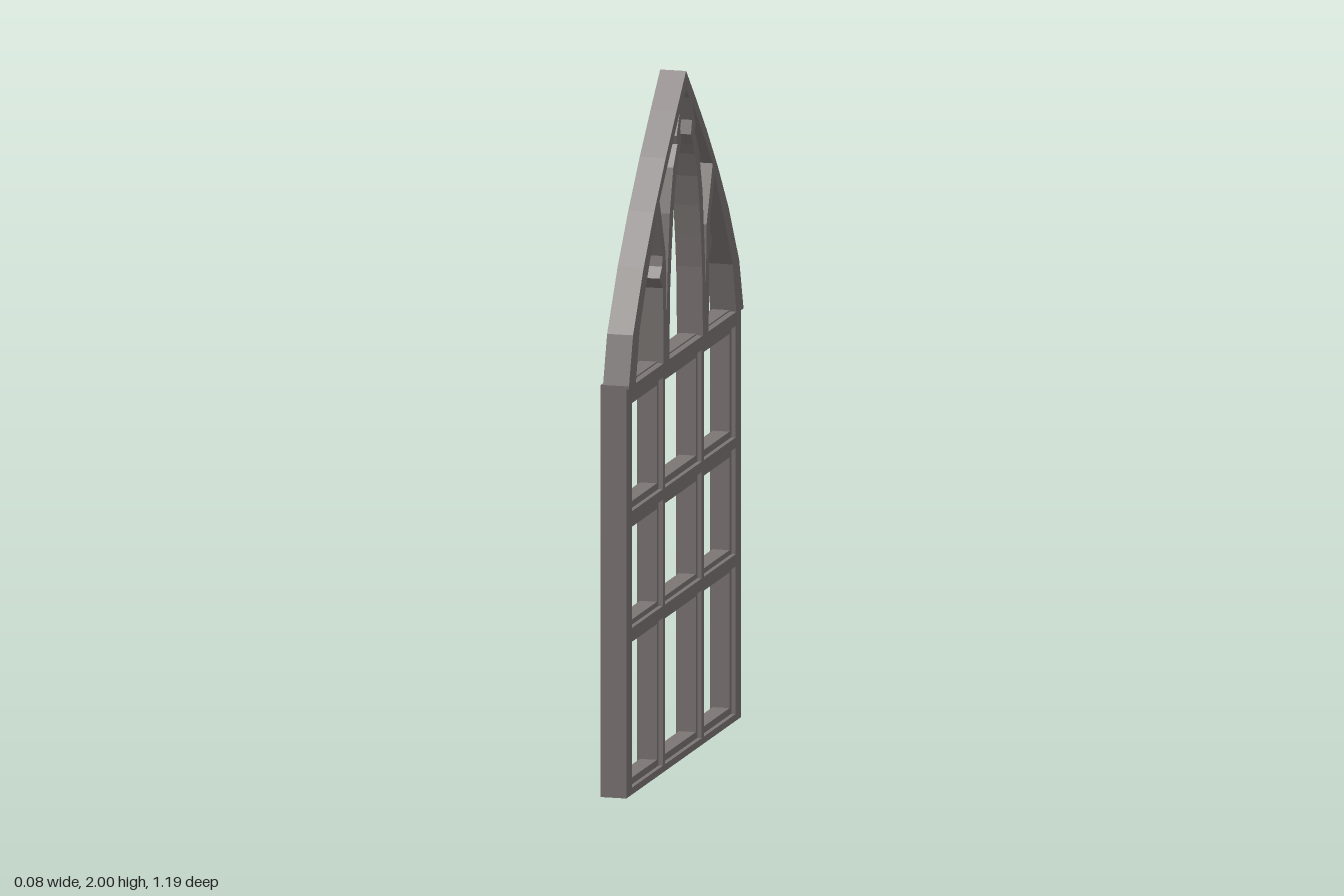
import * as THREE from 'three';

const material = new THREE.MeshStandardMaterial({ color: 0x7c7674, flatShading: true });

const toPath = (pts, Type) => new Type(pts.map(([z, y]) => new THREE.Vector2(z, y)));
const mirror = (pts) => pts.map(([z, y]) => [-z, y]);
const rect = ([z0, z1], [y0, y1]) => [[z0, y0], [z1, y0], [z1, y1], [z0, y1]];

// Plate drawn in the z-y plane, with openings, spanning x0 to x1.
function plate(name, outline, holes, x0, x1) {
  const shape = toPath(outline, THREE.Shape);
  shape.holes = holes.map((h) => toPath(h, THREE.Path));
  const geo = new THREE.ExtrudeGeometry(shape, { depth: x1 - x0, bevelEnabled: false });
  geo.rotateY(-Math.PI / 2).translate(x1, 0, 0);
  const mesh = new THREE.Mesh(geo, material);
  mesh.name = name;
  return mesh;
}

// Every combination of column and row as a rectangular opening.
const grid = (cols, rows) => cols.flatMap((c) => rows.map((r) => rect(c, r)));

export function createModel() {
  const group = new THREE.Group();
  group.name = 'archedWindow';

  // Stiles, mullions and transoms at full depth
  group.add(plate('mainFrame',
    [[-0.595, 0], [0.595, 0], [0.595, 1.2], [0.538, 1.2], [0.538, 1.188],
      [-0.538, 1.188], [-0.538, 1.2], [-0.595, 1.2]],
    grid([[-0.538, -0.207], [-0.186, 0.196], [0.217, 0.536]],
      [[0.02, 0.45], [0.485, 0.795], [0.825, 1.15]]),
    -0.042, 0.034));

  // Thinner stepped rims around the panes
  group.add(plate('paneRims',
    rect([-0.56, 0.56], [0.01, 1.199]),
    grid([[-0.52, -0.23], [-0.17, 0.182], [0.234, 0.52]],
      [[0.04, 0.435], [0.5, 0.77], [0.845, 1.13]]),
    -0.029, 0.021));

  // Pointed arch with tracery
  const outer = [[0.592, 1.19], [0.592, 1.2], [0.55, 1.34], [0.44, 1.515],
    [0.33, 1.655], [0.212, 1.788], [0.1, 1.902]];
  const lancet = [[0.174, 1.195], [0.166, 1.395], [0.153, 1.49], [0.138, 1.58],
    [0.117, 1.67], [0.09, 1.74], [0.075, 1.77], [0.05, 1.805], [0.062, 1.845], [0.032, 1.915]];
  const sideLight = [[0.233, 1.195], [0.239, 1.415], [0.276, 1.45], [0.25, 1.48],
    [0.244, 1.51], [0.297, 1.64], [0.403, 1.478], [0.483, 1.34], [0.52, 1.195]];
  const spandrel = [[0.066, 1.893], [0.17, 1.787], [0.276, 1.676], [0.212, 1.51],
    [0.206, 1.345], [0.2, 1.345], [0.191, 1.45], [0.17, 1.618], [0.133, 1.745],
    [0.09, 1.805], [0.098, 1.83]];
  group.add(plate('archTracery',
    [...outer, [0, 2], ...mirror(outer).reverse()],
    [[...lancet, [0, 1.947], ...mirror(lancet).reverse()],
      sideLight, mirror(sideLight), spandrel, mirror(spandrel)],
    -0.036, 0.041));

  return group;
}
